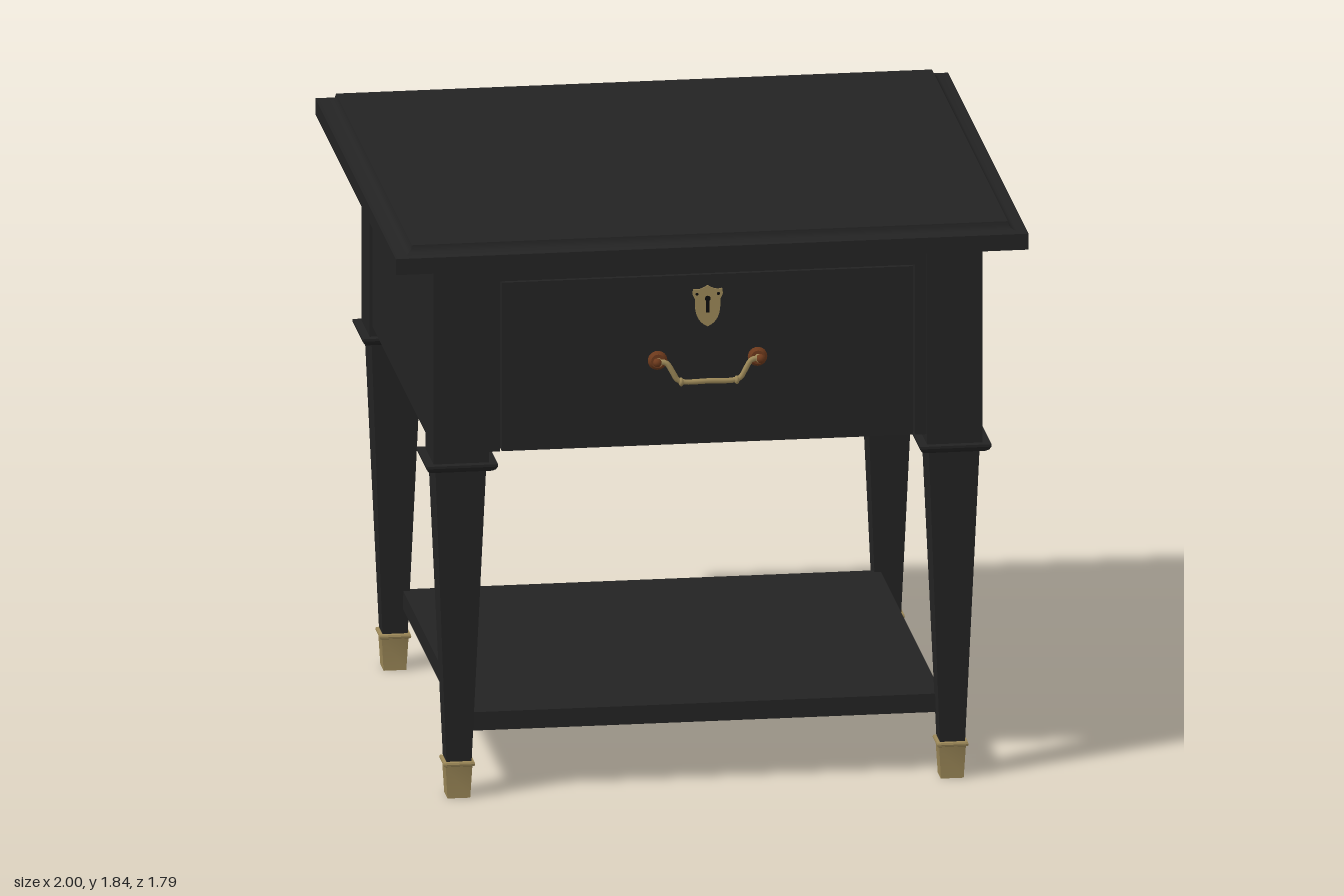
import * as THREE from 'three';
import { toCreasedNormals } from 'three/addons/utils/BufferGeometryUtils.js';

const mat = (name, color) => {
  const m = new THREE.MeshStandardMaterial({ color });
  m.name = name;
  return m;
};

export function createModel() {
  const black = mat('black lacquer', 0x232323);
  const brass = mat('brass', 0x9c8858);
  const wood = mat('drawer wood', 0x5a3622);
  const copper = mat('copper', 0x6e3a1c);
  const dark = mat('keyhole dark', 0x0c0c0c);

  const model = new THREE.Group();
  model.name = 'sideTable';

  const add = (name, geo, material, x = 0, y = 0, z = 0, parent = model) => {
    const mesh = new THREE.Mesh(geo, material);
    mesh.name = name;
    mesh.position.set(x, y, z);
    parent.add(mesh);
    return mesh;
  };
  // box given by its lower and upper limits
  const span = (name, material, [x0, x1], [y0, y1], [z0, z1], parent) =>
    add(name, new THREE.BoxGeometry(x1 - x0, y1 - y0, z1 - z0), material,
      (x0 + x1) / 2, (y0 + y1) / 2, (z0 + z1) / 2, parent);
  // square moulding from a profile of [half width, y]
  const square = (profile, sx = 1, sz = 1) => {
    const pts = profile.map(([h, y]) => new THREE.Vector2(h * Math.SQRT2, y));
    const geo = new THREE.LatheGeometry(pts, 4, Math.PI / 4);
    return toCreasedNormals(geo.scale(sx, 1, sz), 0.5);
  };

  // table top with a small cove round the edge
  add('tableTop', square([
    [0, 1.76], [1, 1.76], [1, 1.812], [0.965, 1.812], [0.953, 1.818],
    [0.945, 1.828], [0.942, 1.84], [0, 1.84],
  ], 1, 0.895), black);

  // four legs with collars and brass feet
  const LX = 0.78, LZ = 0.71;
  const collar = square([
    [0, 1.08], [0.085, 1.08], [0.098, 1.083], [0.107, 1.09], [0.113, 1.1],
    [0.113, 1.108], [0, 1.108],
  ]);
  const taper = square([[0, 0.1], [0.039, 0.1], [0.08, 1.085], [0, 1.085]]);
  const foot = square([
    [0, 0], [0.036, 0], [0.042, 0.104], [0.048, 0.107], [0.05, 0.113],
    [0.048, 0.119], [0.042, 0.121], [0, 0.121],
  ]);
  const block = new THREE.BoxGeometry(0.175, 0.66, 0.178);
  for (const sx of [-1, 1]) for (const sz of [-1, 1]) {
    const leg = new THREE.Group();
    leg.name = 'leg';
    leg.position.set(sx * LX, 0, sz * LZ);
    model.add(leg);
    add('legBlock', block, black, 0, 1.43, 0, leg);
    add('legCollar', collar, black, 0, 0, 0, leg);
    add('legTaper', taper, black, 0, 0, 0, leg);
    add('brassFoot', foot, brass, 0, 0, 0, leg);

    // diagonal brace inside each corner of the case
    const brace = add('cornerBrace', new THREE.BoxGeometry(0.46, 0.06, 0.035),
      black, sx * 0.66, 1.18, sz * 0.59);
    brace.rotation.y = sx * sz * Math.PI / 4;
  }

  // low shelf
  span('shelf', black, [-0.755, 0.755], [0.2, 0.26], [-0.685, 0.685]);

  // case panels, slightly set back from the legs
  for (const s of [-1, 1]) {
    const side = [s * 0.81, s * 0.858].sort((a, b) => a - b);
    span('sidePanel', black, side, [1.14, 1.765], [-0.64, 0.64]);
    const stile = [s * 0.656, s * 0.7].sort((a, b) => a - b);
    span('frontStile', black, stile, [1.14, 1.765], [0.74, 0.792]);
  }
  span('backPanel', black, [-0.71, 0.71], [1.14, 1.765], [-0.79, -0.745]);
  span('frontRail', black, [-0.66, 0.66], [1.695, 1.765], [0.74, 0.792]);

  // drawer box with a recessed bottom
  const drawer = new THREE.Group();
  drawer.name = 'drawer';
  model.add(drawer);
  span('drawerFront', black, [-0.65, 0.65], [1.14, 1.69], [0.745, 0.79], drawer);
  for (const s of [-1, 1]) {
    const x = [s * 0.61, s * 0.64].sort((a, b) => a - b);
    span('drawerSide', wood, x, [1.215, 1.6], [-0.62, 0.745], drawer);
  }
  span('drawerBack', wood, [-0.61, 0.61], [1.215, 1.6], [-0.62, -0.59], drawer);
  span('drawerBottom', wood, [-0.61, 0.61], [1.235, 1.25], [-0.59, 0.745], drawer);

  // shield-shaped key plate
  const shield = new THREE.Shape();
  shield.moveTo(0, 1.522);
  shield.bezierCurveTo(0.03, 1.535, 0.042, 1.56, 0.04, 1.61);
  shield.lineTo(0.048, 1.628);
  shield.lineTo(0.046, 1.645);
  shield.quadraticCurveTo(0.025, 1.638, 0, 1.656);
  shield.quadraticCurveTo(-0.025, 1.638, -0.046, 1.645);
  shield.lineTo(-0.048, 1.628);
  shield.lineTo(-0.04, 1.61);
  shield.bezierCurveTo(-0.042, 1.56, -0.03, 1.535, 0, 1.522);
  add('keyPlate', new THREE.ExtrudeGeometry(shield, {
    depth: 0.005, bevelEnabled: false, curveSegments: 8,
  }), brass, 0, 0, 0.79, drawer);
  span('keyholeSlot', dark, [-0.005, 0.005], [1.568, 1.615], [0.794, 0.7965], drawer);
  const keyhole = add('keyholeRound', new THREE.CylinderGeometry(0.009, 0.009, 0.0025, 16),
    dark, 0, 1.613, 0.7952, drawer);
  keyhole.rotation.x = Math.PI / 2;
  for (const s of [-1, 1]) {
    const pin = add('platePin', new THREE.SphereGeometry(0.005, 8, 6), dark,
      s * 0.034, 1.628, 0.795, drawer);
    pin.scale.z = 0.4;
  }

  // drop handle: round copper plates, brass posts and bail
  const bailPath = new THREE.CatmullRomCurve3([
    [-0.165, 1.418, 0.815], [-0.135, 1.415, 0.82], [-0.115, 1.385, 0.822],
    [-0.1, 1.36, 0.822], [-0.08, 1.352, 0.822], [0, 1.352, 0.822], [0.08, 1.352, 0.822],
    [0.1, 1.36, 0.822], [0.115, 1.385, 0.822], [0.135, 1.415, 0.82], [0.165, 1.418, 0.815],
  ].map(p => new THREE.Vector3(...p)));
  add('handleBail', new THREE.TubeGeometry(bailPath, 48, 0.009, 8), brass, 0, 0, 0, drawer);
  for (const s of [-1, 1]) {
    const plate = add('handlePlate', new THREE.CylinderGeometry(0.022, 0.031, 0.012, 24),
      copper, s * 0.158, 1.416, 0.796, drawer);
    plate.rotation.x = Math.PI / 2;
    const post = add('handlePost', new THREE.CylinderGeometry(0.01, 0.012, 0.03, 12),
      brass, s * 0.158, 1.416, 0.812, drawer);
    post.rotation.x = Math.PI / 2;
    add('handleKnob', new THREE.SphereGeometry(0.014, 12, 8), copper,
      s * 0.163, 1.418, 0.822, drawer);
    const bead = add('bailBead', new THREE.SphereGeometry(0.014, 12, 8), brass,
      s * 0.088, 1.352, 0.822, drawer);
    bead.scale.x = 0.6;
  }

  return model;
}
